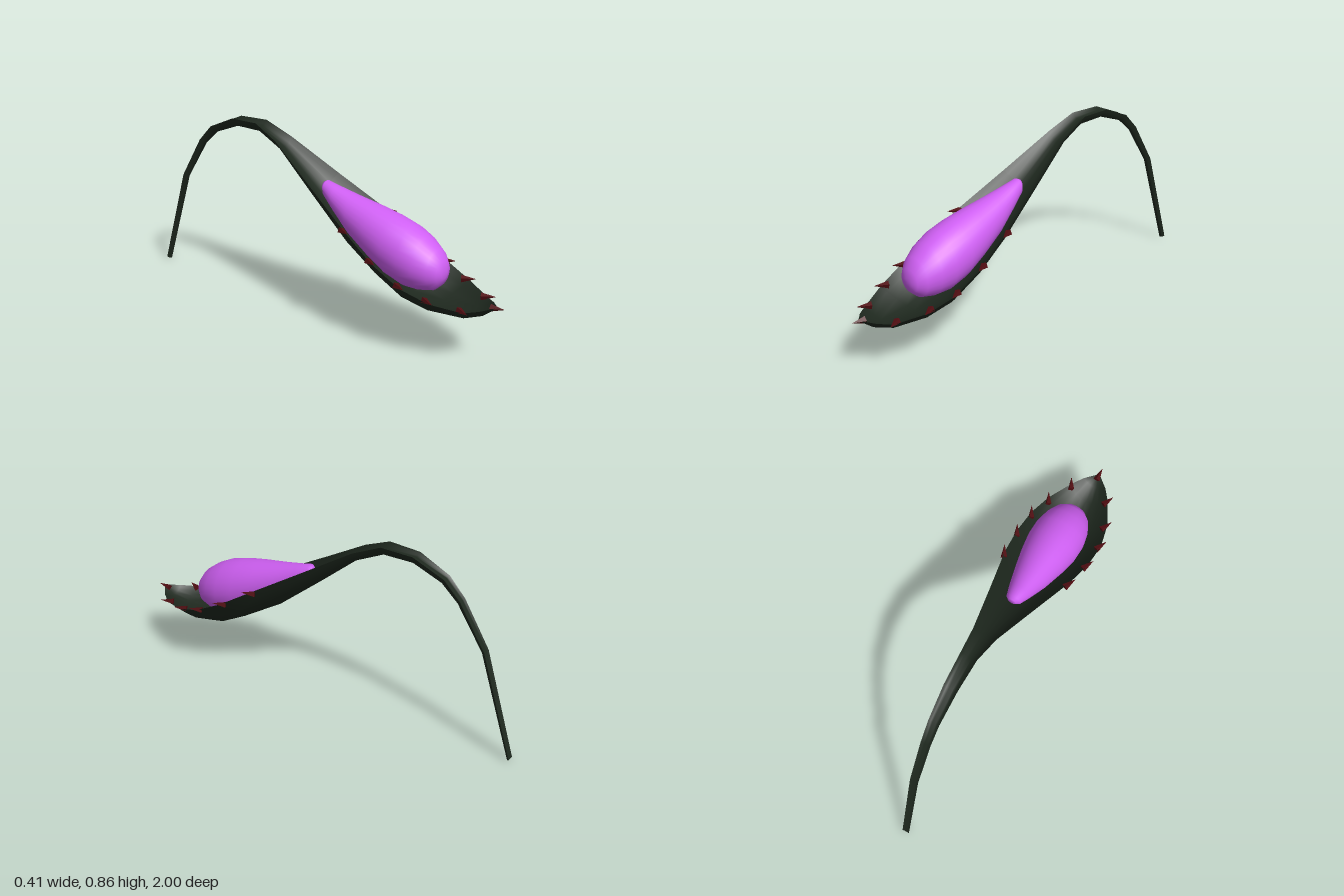
import * as THREE from 'three';
import { toCreasedNormals } from 'three/addons/utils/BufferGeometryUtils.js';

// Skin over closed rings that run from front (+z) to back, each ring counterclockwise seen from the front
function loft(rings) {
  const n = rings[0].length, pos = [], idx = [];
  rings.forEach((r) => r.forEach((p) => pos.push(p.x, p.y, p.z)));
  for (let i = 0; i < rings.length - 1; i++) {
    for (let j = 0; j < n; j++) {
      const k = (j + 1) % n;
      const a = i * n + j, b = i * n + k, c = a + n, d = b + n;
      idx.push(a, c, d, a, d, b);
    }
  }
  // end caps
  [0, rings.length - 1].forEach((i, end) => {
    const mid = new THREE.Vector3();
    rings[i].forEach((p) => mid.addScaledVector(p, 1 / n));
    const m = pos.length / 3;
    pos.push(mid.x, mid.y, mid.z);
    for (let j = 0; j < n; j++) {
      const a = i * n + j, b = i * n + (j + 1) % n;
      if (end) idx.push(m, b, a);
      else idx.push(m, a, b);
    }
  });
  const g = new THREE.BufferGeometry();
  g.setAttribute('position', new THREE.Float32BufferAttribute(pos, 3));
  g.setIndex(idx);
  g.computeVertexNormals();
  return g;
}

// Leaf and stem stations: keel z, keel y, rim z, rim y, half width, wall share of depth
const LEAF = [
  [0.95, 0.272, 0.96, 0.286, 0.008, 0.5],
  [0.905, 0.236, 0.915, 0.276, 0.06, 0.3],
  [0.82, 0.203, 0.86, 0.268, 0.102, 0.25],
  [0.66, 0.198, 0.73, 0.292, 0.162, 0.2],
  [0.54, 0.225, 0.6, 0.335, 0.19, 0.18],
  [0.4, 0.298, 0.45, 0.41, 0.19, 0.18],
  [0.23, 0.4, 0.29, 0.508, 0.168, 0.18],
  [0, 0.585, 0.04, 0.655, 0.11, 0.2],
  [-0.19, 0.742, -0.2, 0.798, 0.056, 0.35],
  [-0.335, 0.81, -0.335, 0.856, 0.039, 0.5],
  [-0.48, 0.81, -0.49, 0.85, 0.033, 0.55],
  [-0.62, 0.755, -0.64, 0.783, 0.026, 0.75],
  [-0.7, 0.682, -0.72, 0.7, 0.023, 0.8],
  [-0.828, 0.486, -0.847, 0.495, 0.02, 0.85],
  [-0.986, 0, -1, 0.008, 0.017, 0.9],
];

// Bowed, two-sided cross-section that closes to an edge at both rims
function leafRing([kz, ky, rz, ry, w, wall]) {
  const at = (u, v) => new THREE.Vector3(u * w, ky + (ry - ky) * v, kz + (rz - kz) * v);
  const us = [-1, -0.85, -0.6, -0.3, 0, 0.3, 0.6, 0.85, 1];
  const bow = (u) => Math.abs(u) ** 2.2;
  const outer = us.map((u) => at(u, bow(u)));
  const inner = us.slice(1, -1).reverse().map((u) => at(u, bow(u) + (1 - bow(u)) * wall));
  return [...outer, ...inner];
}

// Pod stations: z, bottom, top, half width
const POD = [
  [0.7, 0.345, 0.385, 0.025],
  [0.692, 0.315, 0.425, 0.055],
  [0.66, 0.285, 0.468, 0.086],
  [0.6, 0.272, 0.513, 0.113],
  [0.53, 0.272, 0.548, 0.126],
  [0.44, 0.3, 0.574, 0.125],
  [0.34, 0.355, 0.595, 0.109],
  [0.22, 0.43, 0.617, 0.082],
  [0.12, 0.52, 0.638, 0.055],
  [0.06, 0.575, 0.653, 0.036],
  [0.045, 0.6, 0.645, 0.02],
];

function podRing([z, bottom, top, w]) {
  return Array.from({ length: 28 }, (_, i) => {
    const a = (i / 28) * Math.PI * 2;
    return new THREE.Vector3(Math.cos(a) * w, (top + bottom) / 2 + Math.sin(a) * (top - bottom) / 2, z);
  });
}

export function createModel() {
  const model = new THREE.Group();
  const add = (name, geometry, color) => {
    const mesh = new THREE.Mesh(geometry, new THREE.MeshStandardMaterial({ color }));
    mesh.name = name;
    model.add(mesh);
    return mesh;
  };

  // trough-shaped leaf that runs into the arched stem
  add('leafAndStem', toCreasedNormals(loft(LEAF.map(leafRing)), 0.9), 0x1e281e);

  // smooth pod lying in the trough
  add('pod', loft(POD.map(podRing)), 0xd060f4);

  // small four-sided thorns along the rim, leaning forward and outward
  const thorn = new THREE.ConeGeometry(0.017, 0.065, 4).toNonIndexed();
  thorn.computeVertexNormals();
  const up = new THREE.Vector3(0, 1, 0);
  const addThorn = (name, x, y, z, dx, dy) => {
    const mesh = add(name, thorn, 0x520e12);
    mesh.position.set(x, y, z);
    mesh.quaternion.setFromUnitVectors(up, new THREE.Vector3(dx, dy, 0.85).normalize());
  };
  const spots = [[0.172, 0.51, 0.29], [0.19, 0.414, 0.45], [0.19, 0.341, 0.6], [0.16, 0.298, 0.725], [0.103, 0.272, 0.862]];
  for (const side of [1, -1]) {
    spots.forEach(([x, y, z]) => addThorn(side > 0 ? 'leftThorn' : 'rightThorn', side * x, y, z, side * 0.4, 0.05));
  }
  addThorn('tipThorn', 0, 0.284, 0.968, 0, 0.1);

  return model;
}
